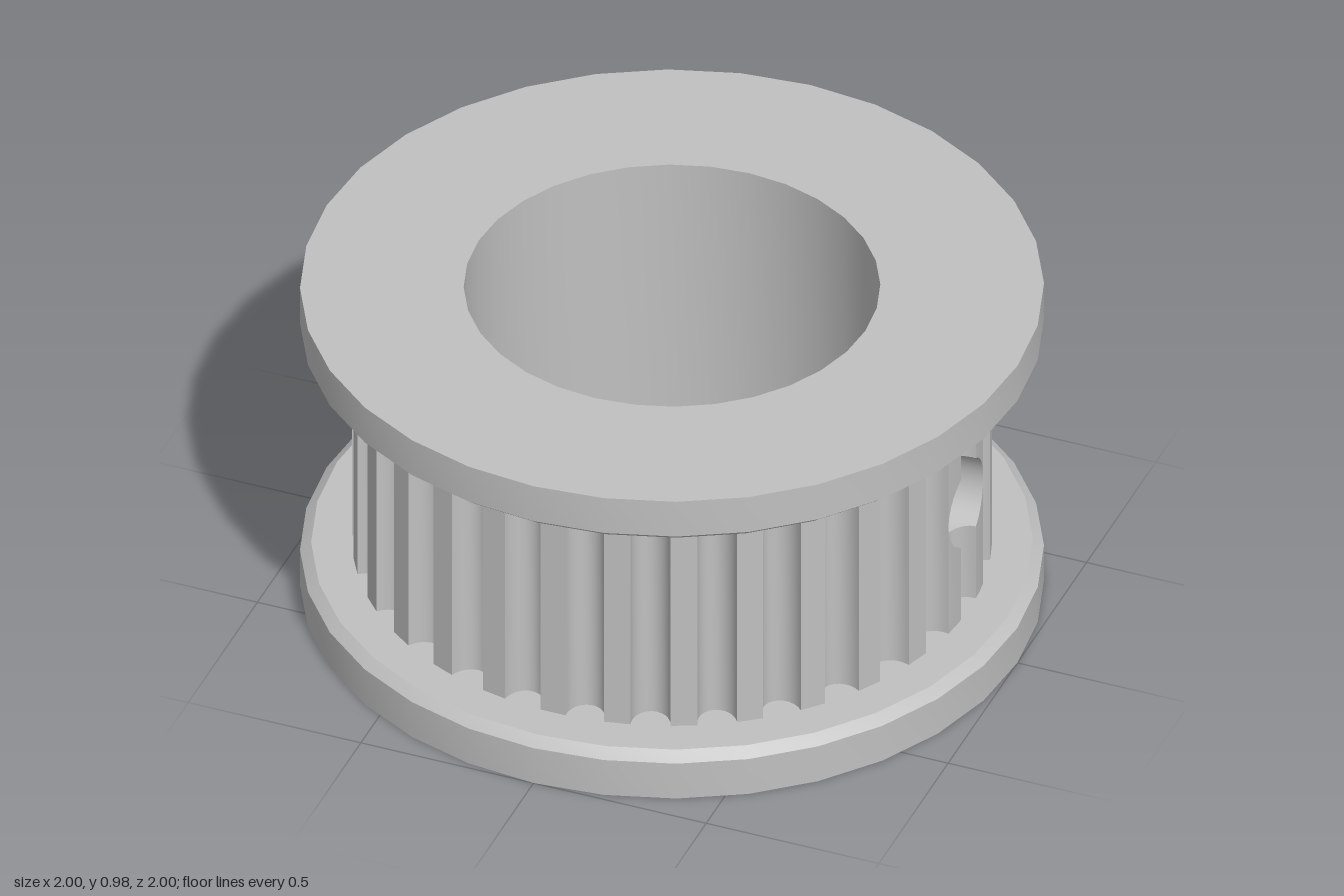
import * as THREE from 'three';
import { toCreasedNormals } from 'three/addons/utils/BufferGeometryUtils.js';

const TEETH = 30, R_TOOTH = 0.86, R_BORE = 0.56, HEIGHT = 0.98;
const GROOVE_HALF = 0.054, GROOVE_DEPTH = 0.065;
const HOLE_R = 0.125, HOLE_Y = 0.49;

// x of the toothed surface and of the bore around the +x axis, for a given z
const outerX = (z) => Math.sqrt(R_TOOTH ** 2 - Math.max(Math.abs(z), GROOVE_HALF) ** 2)
  - GROOVE_DEPTH * Math.sqrt(Math.max(0, 1 - (z / GROOVE_HALF) ** 2));
const boreX = (z) => Math.sqrt(R_BORE ** 2 - z * z);
const holeHalfHeight = (z) => Math.sqrt(Math.max(0, HOLE_R ** 2 - z * z));

// z samples across one groove, and across the whole screw hole
const grooveZ = [];
for (let i = -6; i <= 6; i++) grooveZ.push(GROOVE_HALF * Math.sin((i / 6) * Math.PI / 2));
const side = [34, 42, 52, 62, 71, 80, 90].map((d) => HOLE_R * Math.sin(d * Math.PI / 180));
const holeZ = [...side.map((z) => -z).reverse(), ...grooveZ, ...side];

function makeGeometry(quads) {
  const pos = [];
  for (const [a, b, c, d] of quads) pos.push(...a, ...b, ...c, ...a, ...c, ...d);
  const g = new THREE.BufferGeometry();
  g.setAttribute('position', new THREE.Float32BufferAttribute(pos, 3));
  return toCreasedNormals(g, 0.6);
}

// Vertical wall along a closed outline, leaving out the round screw hole
function wall(outline, y0, y1) {
  const quads = [];
  const inHole = ([x, z]) => x > 0 && Math.abs(z) < HOLE_R + 1e-5;
  const strip = (a, b, lowA, lowB, highA, highB) => quads.push(
    [[a[0], lowA, a[1]], [a[0], highA, a[1]], [b[0], highB, b[1]], [b[0], lowB, b[1]]]);
  outline.forEach((a, i) => {
    const b = outline[(i + 1) % outline.length];
    if (inHole(a) && inHole(b)) {
      const ha = holeHalfHeight(a[1]), hb = holeHalfHeight(b[1]);
      strip(a, b, y0, y0, HOLE_Y - ha, HOLE_Y - hb);
      strip(a, b, HOLE_Y + ha, HOLE_Y + hb, y1, y1);
    } else strip(a, b, y0, y0, y1, y1);
  });
  return makeGeometry(quads);
}

export function createModel() {
  const group = new THREE.Group();
  const metal = new THREE.MeshStandardMaterial({ color: 0xc0c0c0 });
  metal.name = 'grey metal';
  const add = (name, geometry) => {
    const mesh = new THREE.Mesh(geometry, metal);
    mesh.name = name;
    group.add(mesh);
  };

  // Toothed belt surface: one rounded groove repeated around the axis
  const teeth = [];
  for (let k = 0; k < TEETH; k++) {
    const a = (k / TEETH) * Math.PI * 2, c = Math.cos(a), s = Math.sin(a);
    for (const z of k === 0 ? holeZ : grooveZ) {
      const x = outerX(z);
      teeth.push([x * c - z * s, x * s + z * c]);
    }
  }
  add('toothedBody', wall(teeth, 0.14, 0.84));

  // Bore wall, facing inward
  const bore = holeZ.map((z) => [boreX(z), z]);
  for (let i = 2; i <= 30; i++) {
    const a = (i / 32) * Math.PI * 2;
    bore.push([R_BORE * Math.cos(a), R_BORE * Math.sin(a)]);
  }
  add('bore', wall(bore.reverse(), 0, HEIGHT));

  // Screw hole running from the teeth into the bore
  const tunnel = [];
  for (let i = 0; i < holeZ.length - 1; i++) {
    const p = holeZ[i], q = holeZ[i + 1];
    for (const s of [1, -1]) {
      const yp = HOLE_Y + s * holeHalfHeight(p), yq = HOLE_Y + s * holeHalfHeight(q);
      const quad = [[boreX(p), yp, p], [outerX(p), yp, p], [outerX(q), yq, q], [boreX(q), yq, q]];
      tunnel.push(s > 0 ? quad : quad.reverse());
    }
  }
  add('screwHole', makeGeometry(tunnel));

  // Flanges, chamfered on the edge next to the belt
  const flange = (points) => toCreasedNormals(
    new THREE.LatheGeometry(points.map(([x, y]) => new THREE.Vector2(x, y)), 32), 0.6);
  const profile = [[R_BORE, 0], [1, 0], [1, 0.115], [0.97, 0.14], [0.76, 0.14]];
  add('bottomFlange', flange(profile));
  add('topFlange', flange(profile.map(([x, y]) => [x, HEIGHT - y]).reverse()));

  return group;
}
